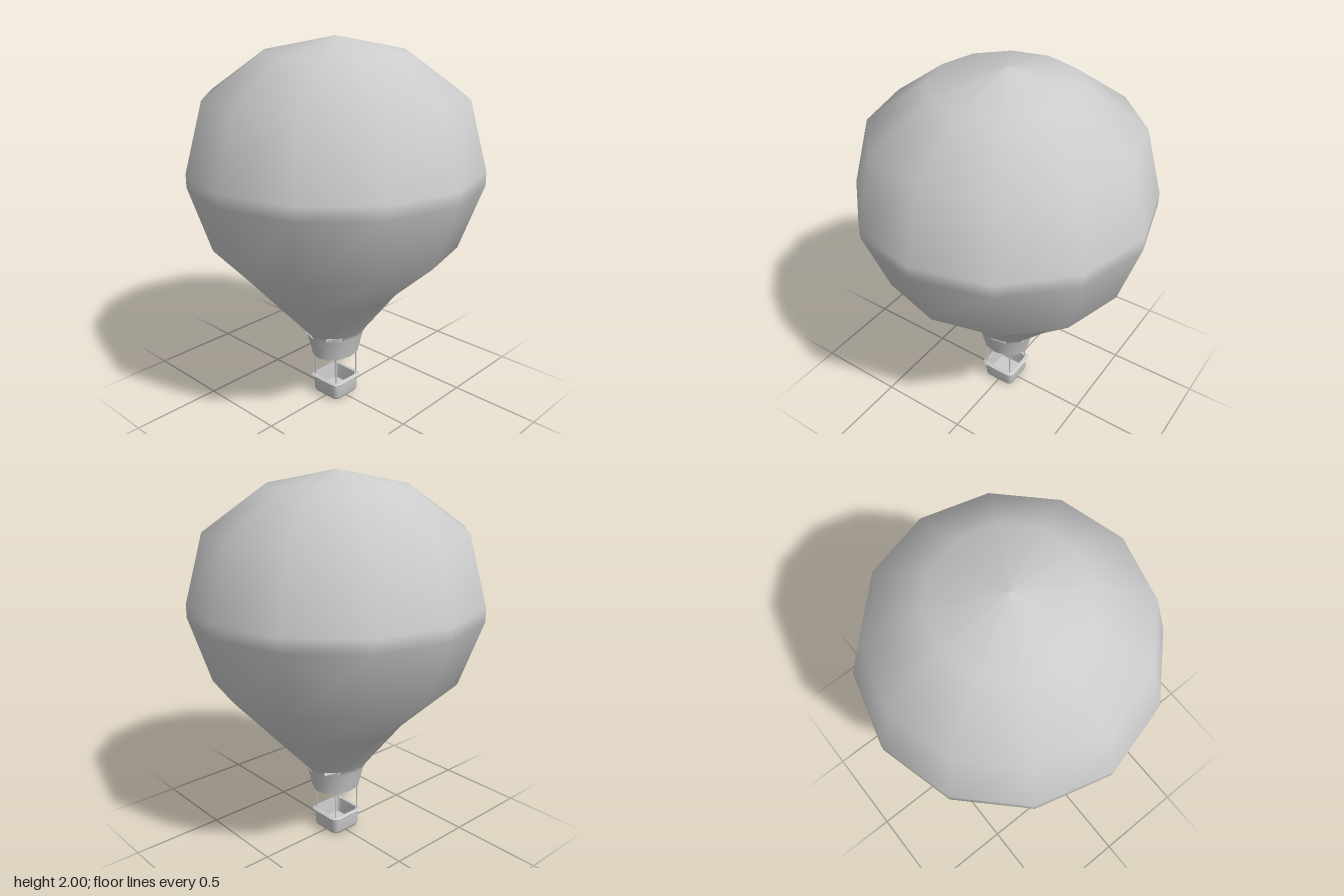
import * as THREE from 'three';
import { toCreasedNormals } from 'three/addons/utils/BufferGeometryUtils.js';

const grey = new THREE.MeshStandardMaterial({ color: 0xcccccc, side: THREE.DoubleSide });

// Unit outlines, running from +z towards +x
const twelveSided = Array.from({ length: 12 }, (_, i) => {
  const a = (i * Math.PI) / 6;
  return [Math.sin(a), Math.cos(a)];
});
const roundedSquare = [];
for (let c = 0; c < 4; c++) {
  const r = 0.32, turn = (c * Math.PI) / 2;
  for (let k = 0; k < 5; k++) {
    const a = (k * Math.PI) / 8;
    const x = 1 - r + r * Math.sin(a), z = 1 - r + r * Math.cos(a);
    roundedSquare.push([
      x * Math.cos(turn) + z * Math.sin(turn),
      z * Math.cos(turn) - x * Math.sin(turn),
    ]);
  }
}

// Joins rings [y, xScale, zScale] of an outline; skip(row, side) leaves openings
function loft(outline, rings, skip = () => false) {
  const n = outline.length, pos = [], idx = [];
  for (const [y, sx, sz = sx] of rings)
    for (const [x, z] of outline) pos.push(x * sx, y, z * sz);
  for (let i = 0; i < rings.length - 1; i++)
    for (let j = 0; j < n; j++) {
      if (skip(i, j)) continue;
      const a = i * n + j, b = i * n + ((j + 1) % n);
      if (rings[i][1] > 0) idx.push(a, b, b + n);
      if (rings[i + 1][1] > 0) idx.push(a, b + n, a + n);
      else if (rings[i][1] > 0) idx[idx.length - 1] = b + n;
    }
  const g = new THREE.BufferGeometry();
  g.setAttribute('position', new THREE.Float32BufferAttribute(pos, 3));
  g.setIndex(idx);
  g.computeVertexNormals();
  return g;
}

export function createModel() {
  const model = new THREE.Group();
  const add = (name, geometry) => {
    const mesh = new THREE.Mesh(geometry, grey);
    mesh.name = name;
    model.add(mesh);
    return mesh;
  };

  // Balloon with an oval skirt and a vent in every second side of the neck
  add('envelope', loft(twelveSided, [
    [0.265, 0.117, 0.143],
    [0.39, 0.146, 0.173],
    [0.42, 0.163, 0.19],
    [0.66, 0.34, 0.41],
    [0.94, 0.643, 0.665],
    [1.285, 0.77],
    [1.355, 0.77],
    [1.71, 0.673],
    [1.925, 0.37],
    [2, 0],
  ], (row, side) => row === 1 && side % 2 === 1));

  // Thickness of the mouth
  add('mouthLip', toCreasedNormals(loft(twelveSided, [
    [0.29, 0.113, 0.139],
    [0.265, 0.107, 0.133],
    [0.265, 0.117, 0.143],
  ]), 0.7));

  // Hollow basket with rounded bottom edge
  add('basket', toCreasedNormals(loft(roundedSquare, [
    [0, 0],
    [0, 0.078],
    [0.008, 0.089],
    [0.022, 0.094],
    [0.105, 0.096],
    [0.105, 0.086],
    [0.02, 0.082],
    [0.02, 0],
  ]), 0.9));

  // Padded rim
  add('basketRim', toCreasedNormals(loft(roundedSquare, [
    [0.1, 0.086],
    [0.1, 0.104],
    [0.105, 0.108],
    [0.11, 0.104],
    [0.11, 0.086],
    [0.1, 0.086],
  ]), 0.9));

  // Four rods from the basket corners into the skirt
  for (const x of [-1, 1])
    for (const z of [-1, 1])
      add('suspensionRod', new THREE.CylinderGeometry(0.004, 0.004, 0.2, 6))
        .position.set(x * 0.081, 0.2, z * 0.081);

  return model;
}
